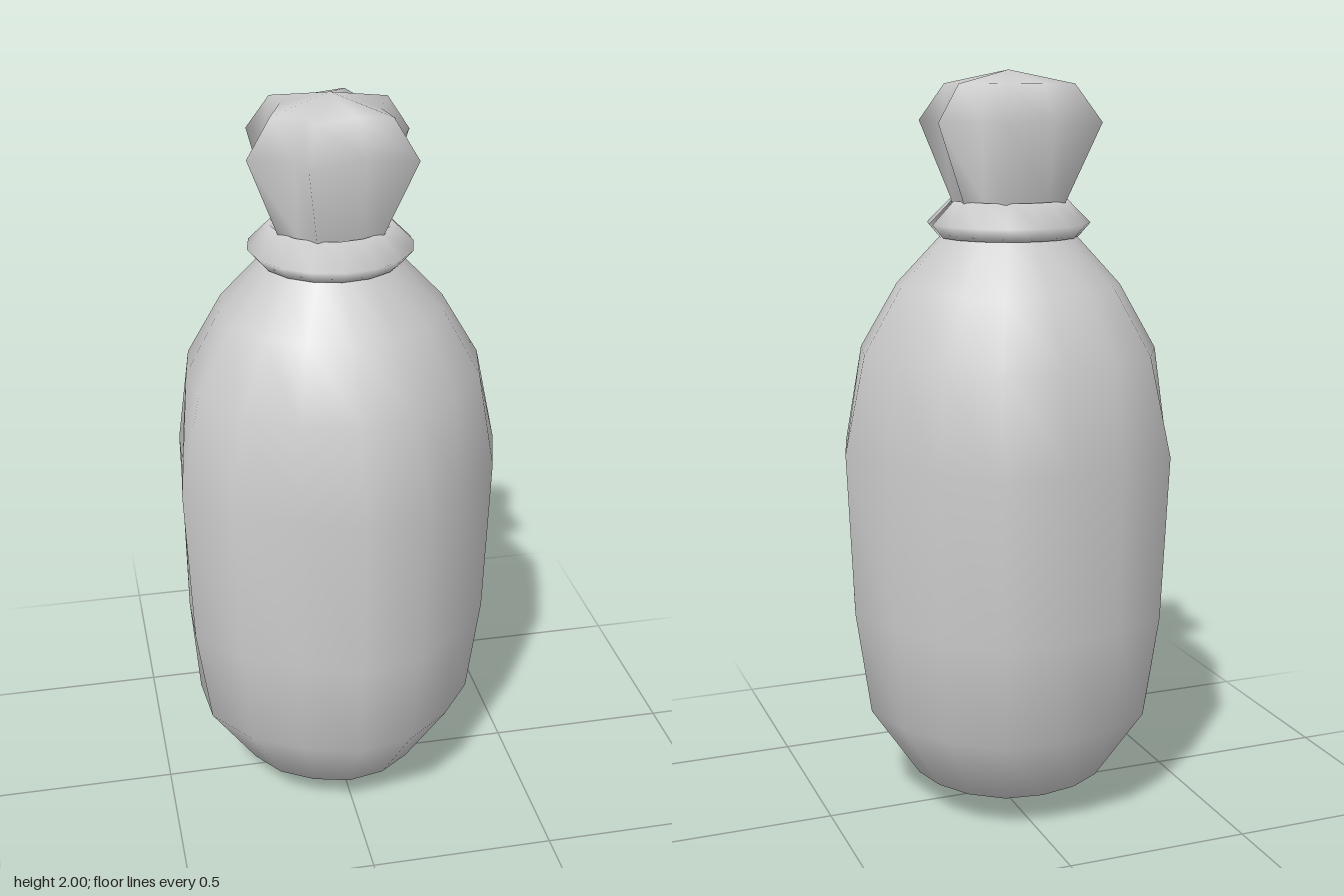
import * as THREE from 'three';
import { mergeVertices } from 'three/addons/utils/BufferGeometryUtils.js';

const CX = -0.015, CZ = -0.015; // axis of the sack

// Skin a stack of rings; radius(ring, j) gives the radius at angles[j].
function loft(rings, angles, radius, closed = true) {
  const pos = [], idx = [], n = angles.length;
  for (const ring of rings) {
    angles.forEach((a, j) => {
      const r = radius(ring, j);
      pos.push(CX + Math.cos(a) * r, ring.y, CZ + Math.sin(a) * r);
    });
  }
  for (let i = 0; i < rings.length - 1; i++) {
    for (let j = 0; j < (closed ? n : n - 1); j++) {
      const k = (j + 1) % n;
      const a = i * n + j, b = i * n + k, c = a + n, d = b + n;
      if (rings[i + 1].r > 0) idx.push(a, c, d);
      else idx.push(a, c, b);
      if (rings[i].r > 0 && rings[i + 1].r > 0) idx.push(a, d, b);
    }
  }
  let geo = new THREE.BufferGeometry();
  geo.setAttribute('position', new THREE.Float32BufferAttribute(pos, 3));
  geo.setIndex(idx);
  geo = mergeVertices(geo, 1e-5);
  geo.computeVertexNormals();
  return geo;
}

export function createModel() {
  const group = new THREE.Group();
  const cloth = new THREE.MeshStandardMaterial({ color: 0xcccccc, side: THREE.DoubleSide });
  cloth.name = 'grey cloth';
  const add = (name, geo) => {
    const mesh = new THREE.Mesh(geo, cloth);
    mesh.name = name;
    group.add(mesh);
  };

  // Lumpy body: sixteen sides, bulges strongest around the middle
  const lumps = [0.455, 0.44, 0.41, 0.444, 0.45, 0.40, 0.438, 0.46,
    0.405, 0.426, 0.46, 0.42, 0.42, 0.46, 0.428, 0.413];
  const sixteen = lumps.map((_, j) => j * Math.PI / 8);
  const bodyRings = [
    { y: 0.005, r: 0, lump: 0 }, { y: 0.1, r: 0.26, lump: 0.2 },
    { y: 0.3, r: 0.39, lump: 0.35 }, { y: 0.58, r: 0.422, lump: 0.7 },
    { y: 1.02, r: 0.433, lump: 1 }, { y: 1.28, r: 0.392, lump: 0.35 },
    { y: 1.45, r: 0.295, lump: 0.2 }, { y: 1.58, r: 0.175, lump: 0 },
    { y: 1.64, r: 0.14, lump: 0 },
  ];
  add('sackBody', loft(bodyRings, sixteen,
    (ring, j) => ring.r * (1 + ring.lump * (lumps[j] / 0.433 - 1))));

  // Tie around the neck, with a narrow gap on the +x side
  const gap = 0.06;
  const tieAngles = Array.from({ length: 17 },
    (_, j) => gap + j * (2 * Math.PI - 2 * gap) / 16);
  const tieRings = [
    { y: 1.62, r: 0.12 }, { y: 1.575, r: 0.185 }, { y: 1.61, r: 0.215 },
    { y: 1.67, r: 0.155 }, { y: 1.62, r: 0.12 },
  ];
  add('neckTie', loft(tieRings, tieAngles, (ring) => ring.r, false));

  // Gathered top: ridges and valleys alternate unevenly
  const degrees = [-135, -112, -67, -44, -23, 22, 45, 67, 113, 134, 157, 202];
  const tips = [0.26, 0.172, 0.244, 0.16, 0.244, 0.172, 0.26, 0.16, 0.244, 0.16, 0.244, 0.172];
  const topRings = [
    { y: 1.6, r: 0.13, flute: 0 }, { y: 1.67, r: 0.155, flute: 0.2 },
    { y: 1.87, r: 0.207, flute: 1 }, { y: 1.965, r: 0.15, flute: 0.9 },
    { y: 2, r: 0, flute: 0 },
  ];
  add('gatheredTop', loft(topRings, degrees.map(THREE.MathUtils.degToRad),
    (ring, j) => ring.r * (1 + ring.flute * (tips[j] / 0.207 - 1))));

  return group;
}
